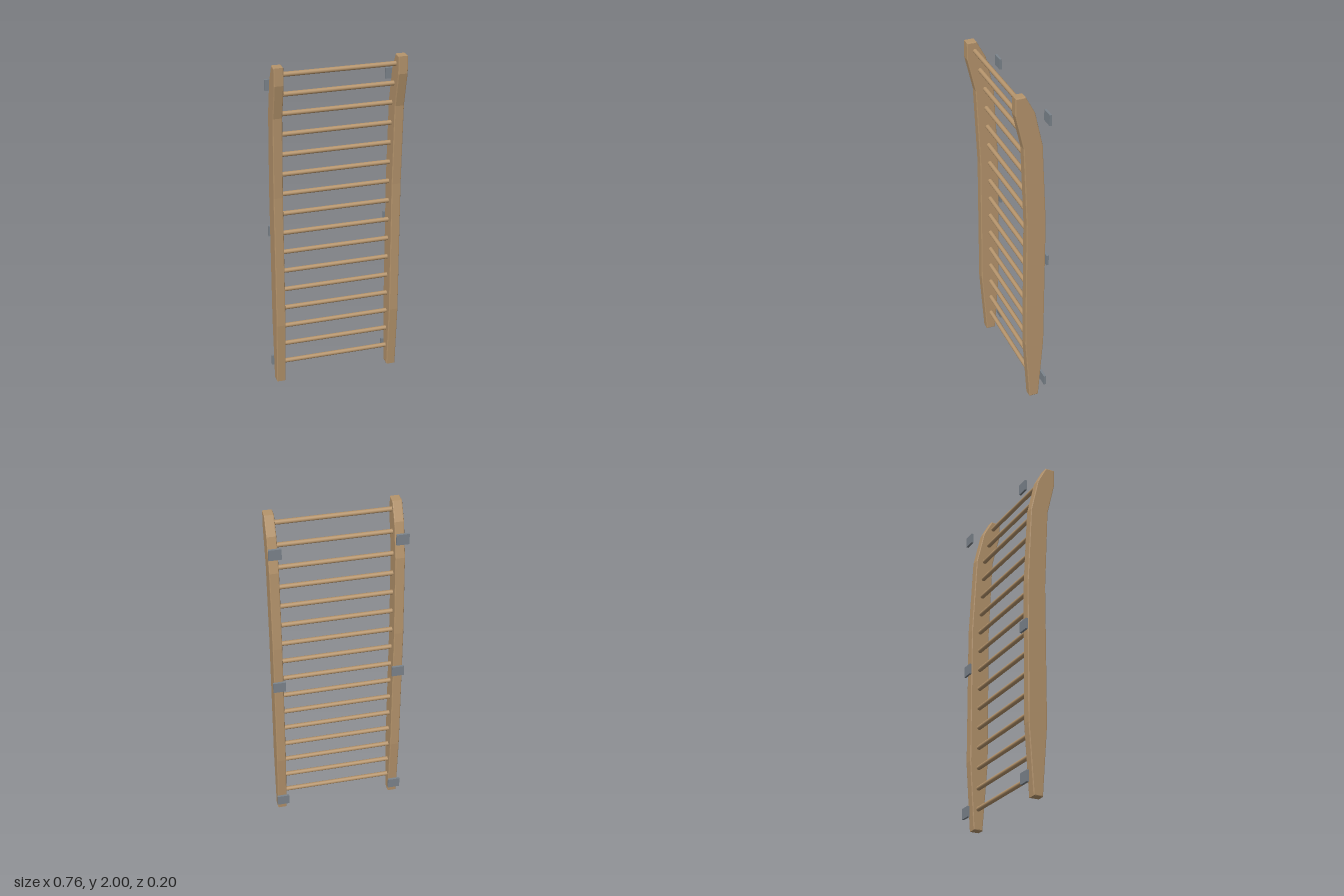
import * as THREE from 'three';

// Upright outline as [z, y]: front edge going up, then back edge going down
const FRONT = [[0, 0], [0.03, 0.4], [0.03, 1.22], [0.052, 1.7], [0.099, 1.9], [0.099, 2]];
const BACK = [[0.043, 2], [-0.01, 1.9], [-0.056, 1.7], [-0.082, 1.22], [-0.082, 0.4], [-0.055, 0]];

// Rung centre line as [y, z]
const RUNG_LINE = [[0, -0.029], [1.22, -0.029], [1.7, -0.005], [1.825, 0.024], [1.95, 0.053]];

function rungZ(y) {
  let i = 1;
  while (i < RUNG_LINE.length - 1 && y > RUNG_LINE[i][0]) i++;
  const [y0, z0] = RUNG_LINE[i - 1], [y1, z1] = RUNG_LINE[i];
  return z0 + (z1 - z0) * (y - y0) / (y1 - y0);
}

export function createModel() {
  const wood = new THREE.MeshStandardMaterial({ color: 0xb5946c });
  wood.name = 'wood';
  const steel = new THREE.MeshStandardMaterial({ color: 0x7c848c });
  steel.name = 'steel';

  const model = new THREE.Group();
  model.name = 'wallBars';
  const add = (name, geometry, material, x, y, z) => {
    const mesh = new THREE.Mesh(geometry, material);
    mesh.name = name;
    mesh.position.set(x, y, z);
    model.add(mesh);
    return mesh;
  };

  // Curved uprights with softened edges
  const width = 0.054, bevel = 0.005;
  const outline = new THREE.Shape([...FRONT, ...BACK].map(([z, y]) => new THREE.Vector2(z, y)));
  const uprightGeo = new THREE.ExtrudeGeometry(outline, {
    depth: width - 2 * bevel, bevelEnabled: true, bevelThickness: bevel,
    bevelSize: bevel, bevelOffset: -bevel, bevelSegments: 2,
  });
  uprightGeo.translate(0, 0, bevel - width / 2);
  uprightGeo.rotateY(-Math.PI / 2);

  // Mounting plates behind each upright
  const plateGeo = new THREE.BoxGeometry(0.07, 0.063, 0.013);

  for (const [side, s] of [['left', 1], ['right', -1]]) {
    add(side + 'Upright', uprightGeo, wood, s * 0.344, 0, 0);
    [0.098, 0.965, 1.843].forEach((y, i) =>
      add(side + 'MountingPlate' + (i + 1), plateGeo, steel, s * 0.343, y, -0.0935));
  }

  // Round rungs following the bend of the uprights
  const rungGeo = new THREE.CylinderGeometry(0.0133, 0.0133, 0.65, 20);
  rungGeo.rotateZ(Math.PI / 2);
  for (let i = 0; i < 16; i++) {
    const y = 0.122 + i * 0.1217;
    add('rung' + (i + 1), rungGeo, wood, 0, y, rungZ(y));
  }
  return model;
}
